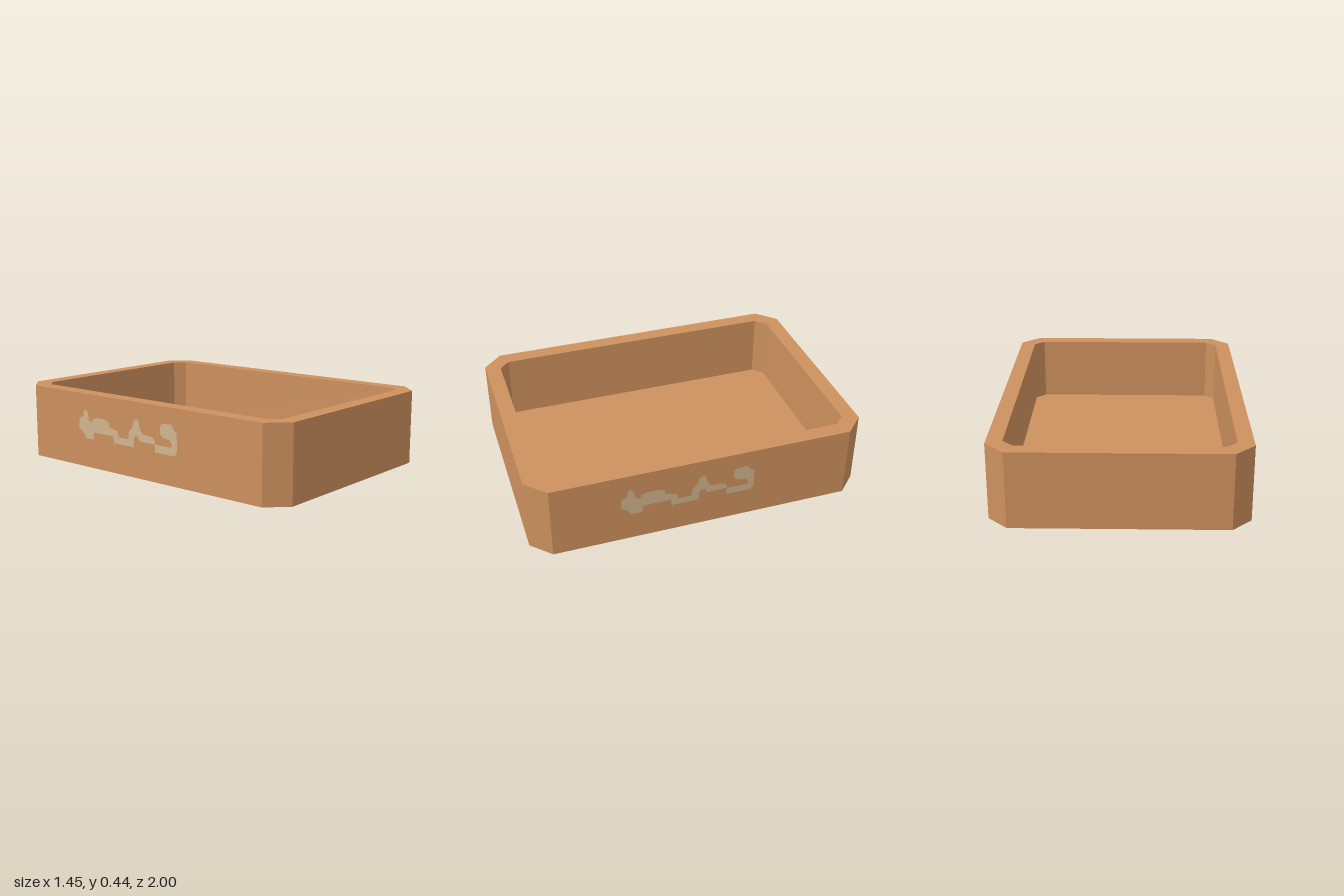
import * as THREE from 'three';

const H = 0.445; // tray height
const FLOOR = 0.05;

// Octagonal outline: a rectangle with cut corners, counter-clockwise from above
function outline(hx, hz, cut, y) {
  return [
    [hx, hz - cut], [hx, cut - hz], [hx - cut, -hz], [cut - hx, -hz],
    [-hx, cut - hz], [-hx, hz - cut], [cut - hx, hz], [hx - cut, hz],
  ].map(([x, z]) => [x, y, z]);
}

function flatMesh(name, triangles, material) {
  const geo = new THREE.BufferGeometry();
  geo.setAttribute('position', new THREE.Float32BufferAttribute(triangles.flat(), 3));
  geo.computeVertexNormals();
  const mesh = new THREE.Mesh(geo, material);
  mesh.name = name;
  return mesh;
}

// Band of flat quads joining two outlines
function band(name, a, b, material) {
  const t = [];
  a.forEach((p, i) => {
    const j = (i + 1) % a.length;
    t.push(p, a[j], b[j], p, b[j], b[i]);
  });
  return flatMesh(name, t, material);
}

// Paint patches as [z, y] outlines, in hundredths of a unit
const patches = [
  [[49, 29], [45, 31], [45, 34], [43, 35], [41, 33], [41, 29], [38, 27.5], [37, 30], [33, 31],
    [27, 31], [24, 30], [23, 27], [16.5, 25.5], [15.5, 22], [7.5, 22], [7.5, 26], [4, 29.5],
    [3.5, 33], [1, 35], [-1, 33], [-1.5, 29.5], [-4, 26.5], [-11.5, 26], [-13.5, 24], [-13.5, 22],
    [-1.5, 22], [0, 25], [3, 24], [3.5, 18], [19.5, 18], [20, 22], [36.5, 22], [37, 17.5],
    [43.5, 17.5], [45, 20.5], [49, 23]],
  [[-17.5, 33.5], [-20, 35], [-26, 35], [-28, 32], [-30, 31], [-30, 19.5], [-28, 17.5],
    [-13.5, 17.5], [-13.5, 22], [-25, 22], [-26.5, 23.5], [-25, 26], [-20, 26.5], [-17.5, 28.5]],
];

export function createModel() {
  const tray = new THREE.Group();
  tray.name = 'tray';

  const wood = new THREE.MeshStandardMaterial({ color: 0xcd915e, side: THREE.DoubleSide });
  wood.name = 'warm wood';
  const paint = new THREE.MeshStandardMaterial({ color: 0xd2b590, side: THREE.DoubleSide });
  paint.name = 'faded cream paint';

  // Thin shell, open underneath
  const base = outline(0.72, 1, 0.113, 0);
  const topOuter = outline(0.72, 1, 0.113, H);
  const topInner = outline(0.628, 0.908, 0.06, H);
  const floorEdge = outline(0.628, 0.908, 0.06, FLOOR);
  tray.add(
    band('outerWalls', base, topOuter, wood),
    band('rim', topOuter, topInner, wood),
    band('innerWalls', topInner, floorEdge, wood),
  );

  // Raised floor as a fan
  const fan = [];
  floorEdge.forEach((p, i) => fan.push([0, FLOOR, 0], p, floorEdge[(i + 1) % 8]));
  tray.add(flatMesh('floor', fan, wood));

  // Worn paint marks on both long sides
  const shapes = patches.map((pts) => new THREE.Shape(
    pts.map(([z, y]) => new THREE.Vector2(-z / 100, y / 100))));
  for (const [name, turn] of [['leftPaintMark', 0], ['rightPaintMark', Math.PI]]) {
    const side = new THREE.Group();
    side.name = name;
    side.rotation.y = turn;
    const mark = new THREE.Mesh(new THREE.ShapeGeometry(shapes), paint);
    mark.name = 'paintPatch';
    mark.rotation.y = Math.PI / 2;
    mark.position.x = 0.723;
    side.add(mark);
    tray.add(side);
  }
  return tray;
}
